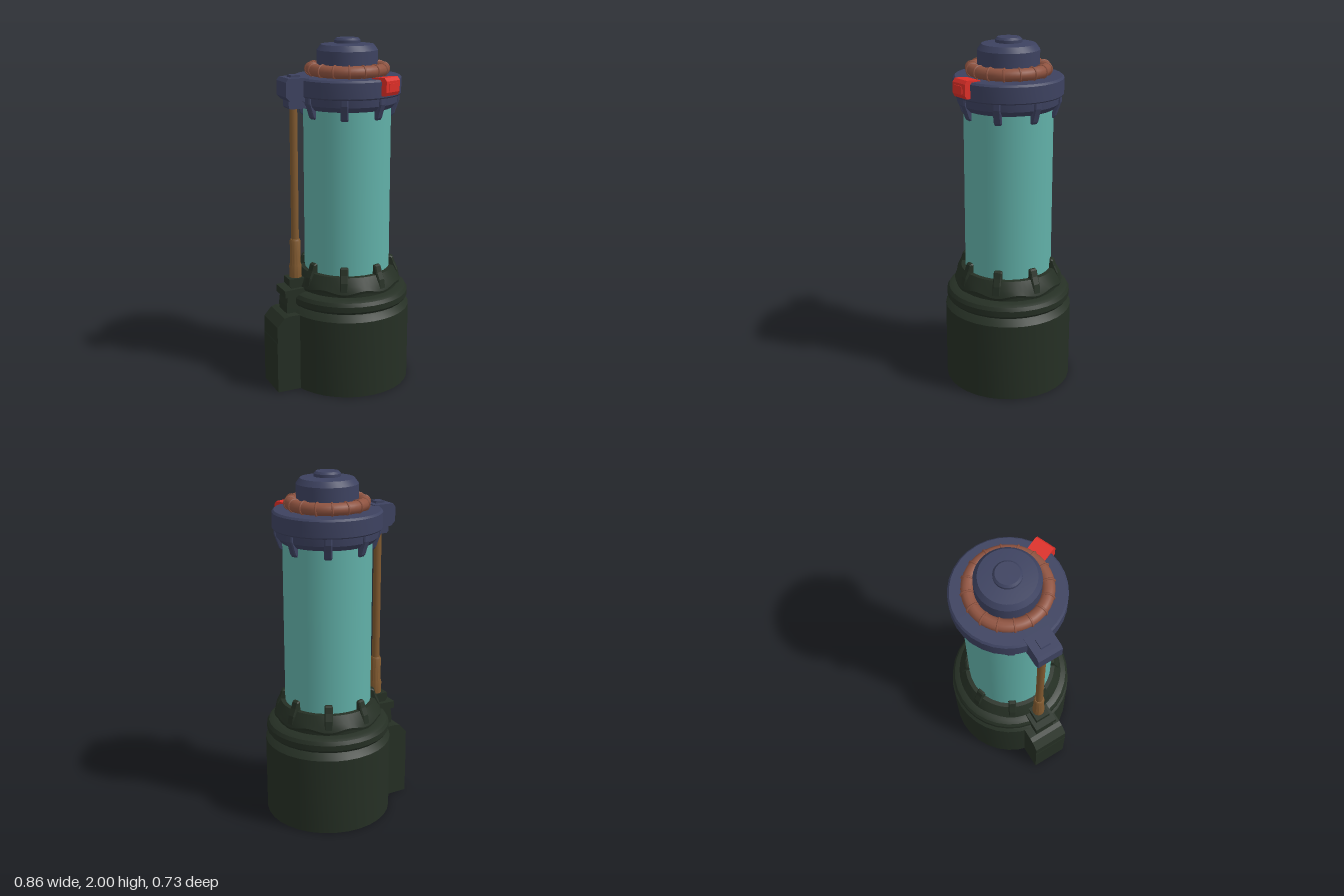
import * as THREE from 'three';
import { toCreasedNormals } from 'three/addons/utils/BufferGeometryUtils.js';

const mat = (name, color) => {
  const m = new THREE.MeshStandardMaterial({ color });
  m.name = name;
  return m;
};

export function createModel() {
  const darkGreen = mat('dark green', 0x252f24);
  const navy = mat('slate blue', 0x3d4260);
  const teal = mat('teal glass', 0x61b0a8);
  const copper = mat('copper', 0x8f5340);
  const brass = mat('brass', 0x80592f);
  const red = mat('red', 0xdd2e27);

  const model = new THREE.Group();
  model.name = 'canister';
  const body = new THREE.Group();
  body.name = 'body';
  body.position.x = 0.06;
  model.add(body);

  const add = (parent, name, geo, material) => {
    const mesh = new THREE.Mesh(geo, material);
    mesh.name = name;
    parent.add(mesh);
    return mesh;
  };
  const lathe = (name, points, material, segments = 32) => add(body, name, toCreasedNormals(
    new THREE.LatheGeometry(points.map(p => new THREE.Vector2(...p)), segments), 0.5), material);
  // Side profile (outward, up) extruded to a centred width along z
  const slab = (parent, name, points, width, material, bevel = 0) => {
    const shape = new THREE.Shape(points.map(p => new THREE.Vector2(...p)));
    const geo = new THREE.ExtrudeGeometry(shape, {
      depth: width - 2 * bevel, bevelEnabled: bevel > 0, bevelSize: bevel,
      bevelThickness: bevel, bevelOffset: -bevel, bevelSegments: 1,
    });
    geo.translate(0, 0, -width / 2 + bevel);
    return add(parent, name, geo, material);
  };

  // Heavy base with a groove and a rounded ring
  lathe('base', [[0, 0], [0.365, 0], [0.365, 0.455], [0.335, 0.485], [0.325, 0.492],
    [0.345, 0.498], [0.357, 0.513], [0.357, 0.545], [0.345, 0.565], [0.325, 0.575],
    [0.295, 0.58], [0.295, 0.6], [0.245, 0.66]], darkGreen);

  // Lower collar whose rim waves eight times
  const claws = 8, clawStart = THREE.MathUtils.degToRad(-6);
  const collarGeo = new THREE.LatheGeometry([[0.28, 0.59], [0.308, 0.59], [0.312, 0.605],
    [0.298, 0.645], [0.272, 0.69], [0.245, 0.692]].map(p => new THREE.Vector2(...p)), 64);
  const pos = collarGeo.attributes.position;
  for (let i = 0; i < pos.count; i++) {
    if (pos.getY(i) > 0.62) continue;
    const a = Math.atan2(pos.getX(i), pos.getZ(i)) - clawStart;
    pos.setY(i, pos.getY(i) + 0.01 * (1 - Math.cos(claws * a)) - 0.004);
  }
  add(body, 'lowerCollar', toCreasedNormals(collarGeo, 0.5), darkGreen);

  // Glass tube
  const glass = add(body, 'glassTube',
    new THREE.CylinderGeometry(0.248, 0.248, 1.0, 32, 1, true), teal);
  glass.position.y = 1.16;

  // Upper cap with flange
  lathe('upperCap', [[0.245, 1.622], [0.255, 1.622], [0.28, 1.65], [0.284, 1.69], [0.297, 1.693],
    [0.303, 1.7], [0.303, 1.785], [0.293, 1.796], [0, 1.796]], navy);

  // Claws gripping both ends of the glass
  const lowerClaw = [[0.235, 0.64], [0.308, 0.615], [0.298, 0.665], [0.279, 0.705],
    [0.268, 0.738], [0.258, 0.745], [0.235, 0.745]];
  const upperClaw = [[0.235, 1.572], [0.254, 1.572], [0.266, 1.585], [0.278, 1.62],
    [0.293, 1.66], [0.293, 1.7], [0.235, 1.7]];
  for (let i = 0; i < claws; i++) {
    const turn = clawStart + (i * Math.PI * 2) / claws - Math.PI / 2;
    slab(body, 'lowerClaw', lowerClaw, 0.046, darkGreen, 0.006).rotation.y = turn;
    slab(body, 'upperClaw', upperClaw, 0.042, navy, 0.006).rotation.y = turn;
  }

  // Copper coil with sixteen bands
  const coil = add(body, 'copperCoil', new THREE.TorusGeometry(0.2, 0.034, 12, 48), copper);
  coil.rotation.x = Math.PI / 2;
  coil.position.y = 1.83;
  const bandGeo = new THREE.TorusGeometry(0.034, 0.006, 6, 16);
  for (let i = 0; i < 16; i++) {
    const a = (i * Math.PI) / 8;
    const band = add(body, 'coilBand', bandGeo, copper);
    band.position.set(Math.cos(a) * 0.2, 1.83, -Math.sin(a) * 0.2);
    band.rotation.y = a;
  }

  // Stepped crown and knob
  lathe('crown', [[0.17, 1.79], [0.17, 1.935], [0.148, 1.965], [0.075, 1.972], [0, 1.972]], navy);
  lathe('crownKnob', [[0.073, 1.965], [0.073, 1.988], [0.062, 2], [0, 2]], navy);

  // Red latch on the front
  const latch = new THREE.Group();
  latch.name = 'latch';
  latch.rotation.y = -Math.PI / 2;
  body.add(latch);
  slab(latch, 'latchBody', [[0.23, 1.79], [0.29, 1.71], [0.32, 1.71], [0.332, 1.73],
    [0.332, 1.79], [0.318, 1.808], [0.29, 1.808], [0.23, 1.8]], 0.11, red);
  const latchPlate = add(latch, 'latchPlate', new THREE.BoxGeometry(0.008, 0.04, 0.064), red);
  latchPlate.position.set(0.333, 1.757, 0);

  // Side assembly, pointing outward along its own +x
  const side = new THREE.Group();
  side.name = 'sideAssembly';
  side.rotation.y = THREE.MathUtils.degToRad(157.5);
  body.add(side);
  slab(side, 'sideHousing', [[0.25, 0], [0.487, 0], [0.487, 0.3], [0.485, 0.305], [0.485, 0.4],
    [0.44, 0.45], [0.41, 0.458], [0.25, 0.458]], 0.215, darkGreen);
  slab(side, 'housingNeck', [[0.25, 0.44], [0.408, 0.44], [0.408, 0.5], [0.4, 0.56], [0.25, 0.56]],
    0.12, darkGreen);
  slab(side, 'housingCap', [[0.25, 0.556], [0.42, 0.556], [0.42, 0.598], [0.25, 0.605]],
    0.14, darkGreen);
  slab(side, 'rodSocket', [[0.25, 0.6], [0.37, 0.6], [0.382, 0.615], [0.382, 0.655], [0.25, 0.655]],
    0.09, darkGreen);

  // Brass rod with a thicker sleeve
  const rod = add(side, 'rod', new THREE.CylinderGeometry(0.022, 0.022, 0.82, 12), brass);
  rod.position.set(0.327, 1.25, 0);
  const sleeve = add(side, 'rodSleeve', toCreasedNormals(new THREE.LatheGeometry([[0.036, 0.65],
    [0.036, 0.72], [0.031, 0.74], [0.031, 0.872], [0.026, 0.882], [0, 0.882]]
    .map(p => new THREE.Vector2(...p)), 12), 0.5), brass);
  sleeve.position.x = 0.327;

  // Upper bracket holding the rod
  slab(side, 'rodBracket', [[0.26, 1.65], [0.3, 1.675], [0.37, 1.675], [0.396, 1.7],
    [0.396, 1.78], [0.38, 1.8], [0.26, 1.8]], 0.14, navy);
  slab(side, 'rodHolder', [[0.26, 1.63], [0.36, 1.63], [0.37, 1.64], [0.37, 1.69], [0.26, 1.69]],
    0.085, navy);
  slab(side, 'bracketStud', [[0.29, 1.79], [0.355, 1.79], [0.348, 1.812], [0.297, 1.812]],
    0.055, navy);

  return model;
}
